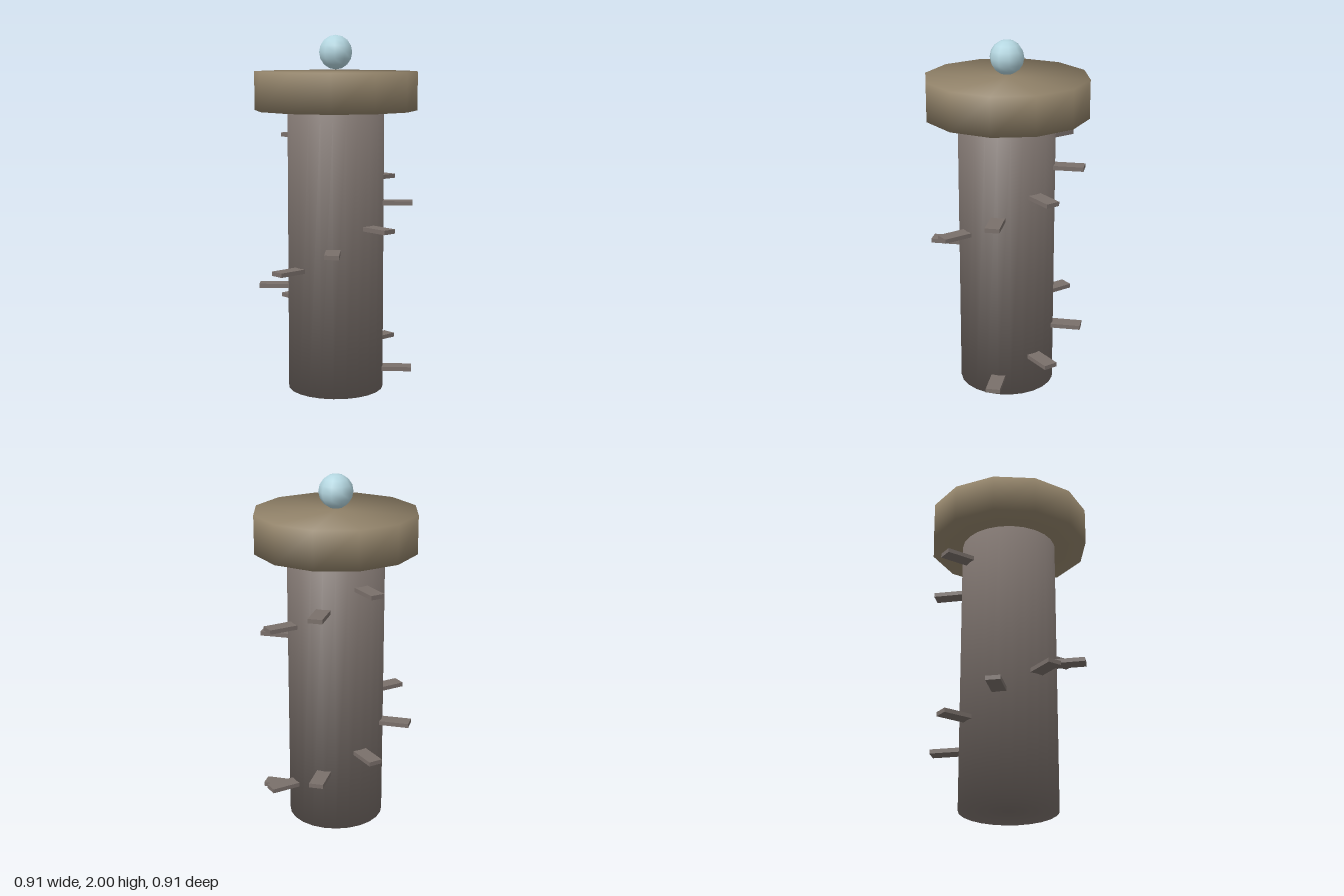
import * as THREE from 'three';

const stone = new THREE.MeshStandardMaterial({ color: 0x7a706b });
stone.name = 'grey stone';
const sand = new THREE.MeshStandardMaterial({ color: 0x918269 });
sand.name = 'tan stone';
const glass = new THREE.MeshStandardMaterial({ color: 0xb4d6e0 });
glass.name = 'pale blue';

// Upright drum whose normals blend softly between wall and end faces
function drum(name, radius, bottom, top, sides, material) {
  const geo = new THREE.CylinderGeometry(radius, radius, top - bottom, sides);
  const pos = geo.attributes.position;
  for (let i = 0; i < pos.count; i++) {
    geo.attributes.normal.setXYZ(
      i,
      (pos.getX(i) / radius) * 0.72,
      Math.sign(pos.getY(i)) * 0.69,
      (pos.getZ(i) / radius) * 0.72
    );
  }
  const mesh = new THREE.Mesh(geo, material);
  mesh.name = name;
  mesh.position.y = (bottom + top) / 2;
  return mesh;
}

export function createModel() {
  const model = new THREE.Group();
  model.name = 'tower';

  // Shaft and wide twelve-sided crown
  model.add(drum('shaft', 0.27, 0, 1.585, 24, stone));
  model.add(drum('crown', 0.455, 1.585, 1.8, 12, sand));

  // Floating orb
  const orb = new THREE.Mesh(new THREE.SphereGeometry(0.095, 10, 8), glass);
  orb.name = 'orb';
  orb.rotation.y = Math.PI / 2;
  orb.position.y = 1.905;
  model.add(orb);

  // Spiral stair: twelve slabs, an eighth of a turn apart
  const stair = new THREE.Group();
  stair.name = 'spiralStair';
  const slab = new THREE.BoxGeometry(0.17, 0.024, 0.08);
  slab.translate(0.348, 0, 0);
  for (let i = 0; i < 12; i++) {
    const step = new THREE.Mesh(slab, stone);
    step.name = 'step' + (i + 1);
    step.position.y = 0.11 + i * 0.1197;
    step.rotation.y = (i * Math.PI) / 4;
    stair.add(step);
  }
  model.add(stair);

  return model;
}
